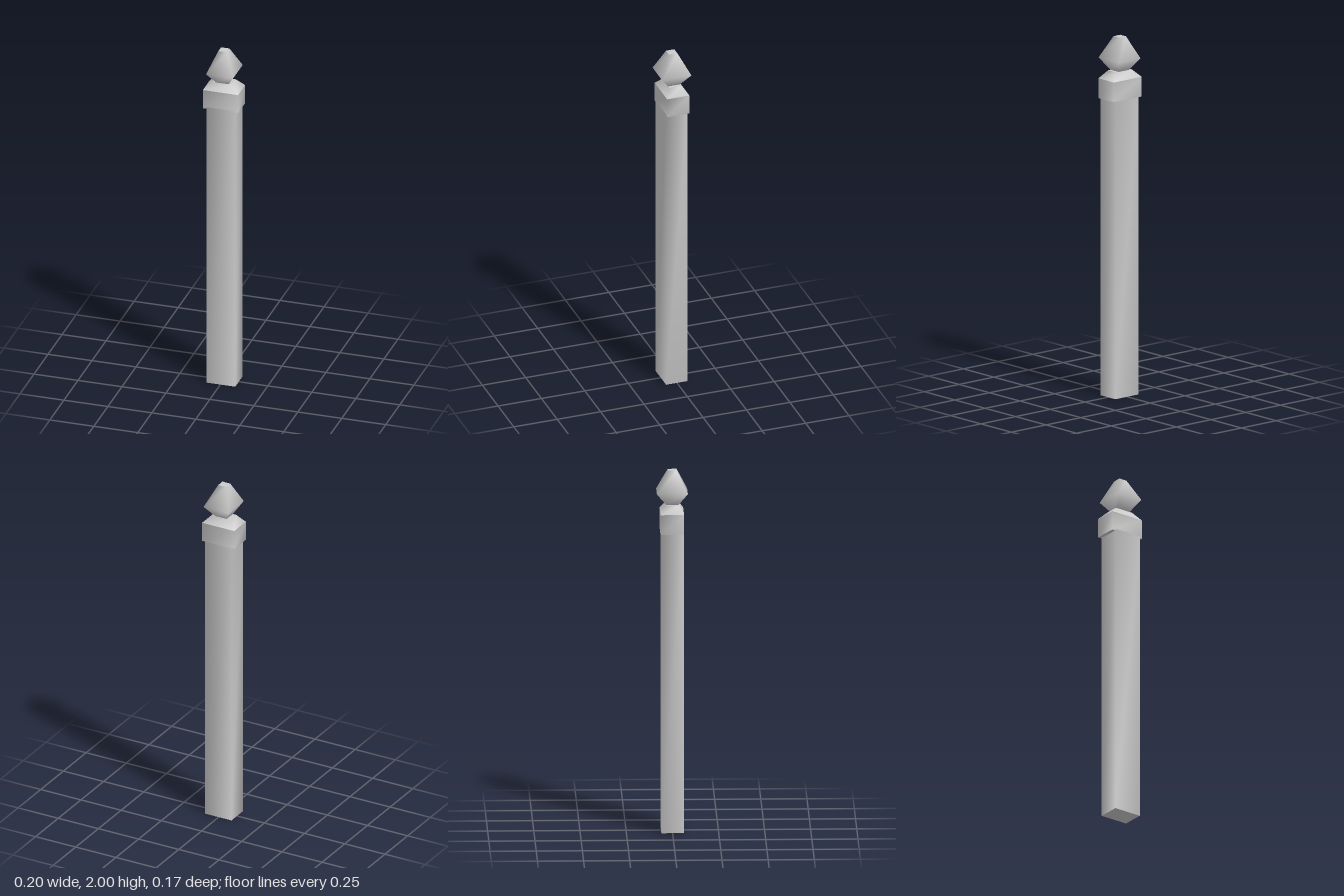
import * as THREE from 'three';

const material = new THREE.MeshStandardMaterial({ color: 0xcccccc, side: THREE.DoubleSide });

// Rectangular ring as four corners, counter-clockwise seen from below
function ring([y, x0, x1, z0, z1]) {
  return [[x0, y, z0], [x1, y, z0], [x1, y, z1], [x0, y, z1]];
}

function mesh(name, corners, index) {
  const geometry = new THREE.BufferGeometry();
  geometry.setAttribute('position', new THREE.Float32BufferAttribute(corners.flat(), 3));
  geometry.setIndex(index);
  geometry.computeVertexNormals();
  const part = new THREE.Mesh(geometry, material);
  part.name = name;
  return part;
}

// Walls through a stack of rings, bottom to top, with normals smoothed round the corners
function walls(name, rings) {
  const index = [];
  for (let r = 0; r < rings.length - 1; r++) {
    for (let i = 0; i < 4; i++) {
      const a = r * 4 + i, b = r * 4 + (i + 1) % 4;
      index.push(a, a + 4, b, b, a + 4, b + 4);
    }
  }
  return mesh(name, rings.flatMap(ring), index);
}

// Flat rectangle closing one end of a stack
function lid(name, r, up) {
  return mesh(name, ring(r), up ? [0, 2, 1, 0, 3, 2] : [0, 1, 2, 0, 2, 3]);
}

export function createModel() {
  const model = new THREE.Group();
  model.name = 'fencePost';

  // Each ring: y, min x, max x, min z, max z
  const postBottom = [0, -0.08, 0.085, -0.061, 0.063];
  const postTop = [1.67, -0.08, 0.085, -0.061, 0.063];
  const capBottom = [1.66, -0.1, 0.1, -0.066, 0.062];
  const capEdge = [1.77, -0.1, 0.1, -0.066, 0.062];
  const capTop = [1.813, -0.055, 0.055, -0.036, 0.034];
  const finialBottom = [1.813, -0.035, 0.038, -0.034, 0.034];
  const finialWide = [1.88, -0.075, 0.08, -0.085, 0.083];
  const finialTop = [2, -0.024, 0.024, -0.024, 0.024];

  // Plain shaft
  model.add(walls('shaft', [postBottom, postTop]), lid('shaftBase', postBottom, false));

  // Collar with sloping shoulders
  model.add(
    walls('collar', [capBottom, capEdge]),
    lid('collarUnderside', capBottom, false),
    walls('collarShoulder', [capEdge, capTop]),
    lid('collarTop', capTop, true)
  );

  // Softly shaded square finial
  model.add(
    walls('finial', [finialBottom, finialWide, finialTop]),
    lid('finialBase', finialBottom, false),
    lid('finialTip', finialTop, true)
  );
  return model;
}
